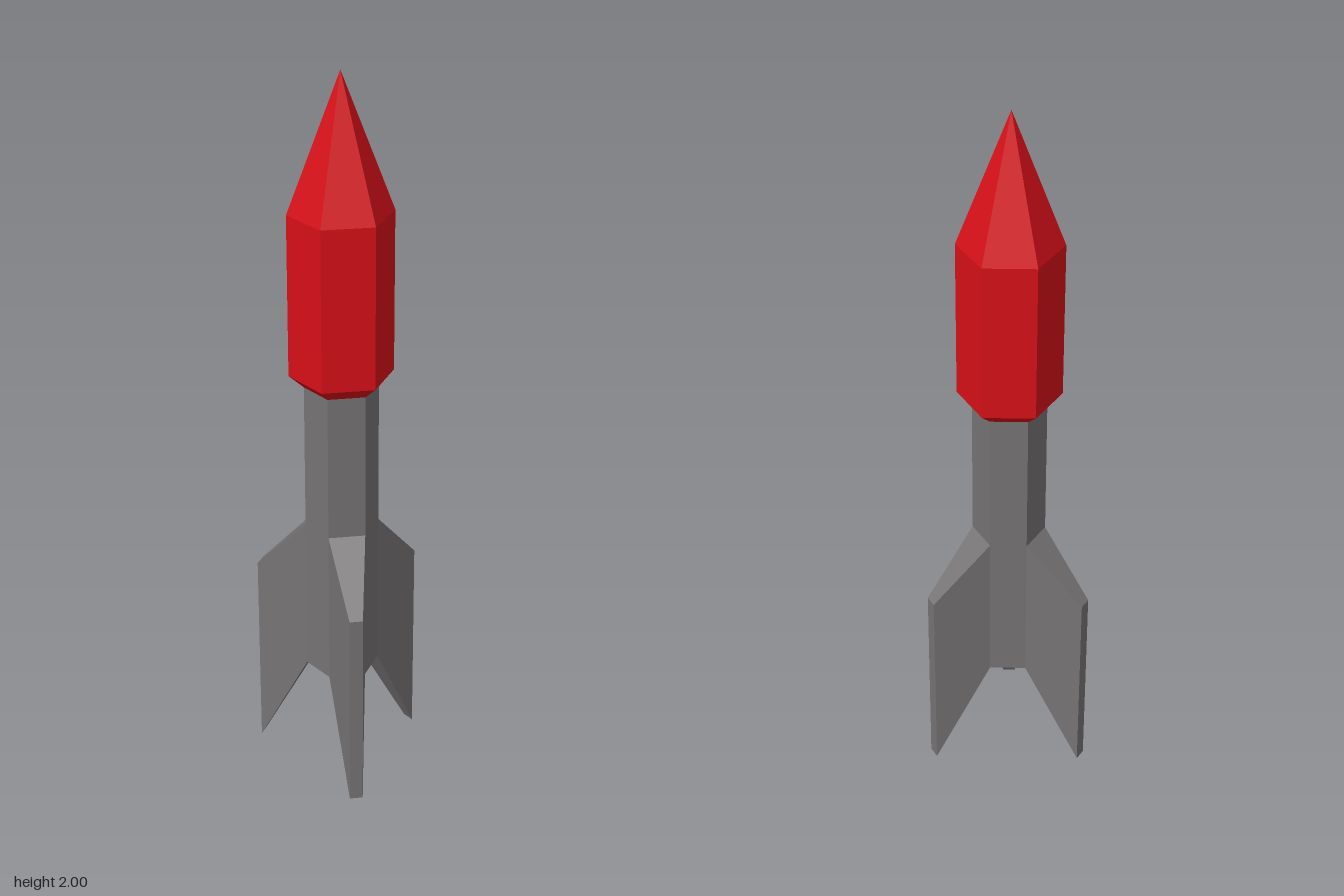
import * as THREE from 'three';

const SIDES = 6;
const APOTHEM = Math.cos(Math.PI / SIDES);

// Faceted solid of revolution from [radius, height] pairs, bottom to top
function hexTurned(name, profile, material) {
  const points = profile.map(([r, y]) => new THREE.Vector2(r, y));
  const mesh = new THREE.Mesh(new THREE.LatheGeometry(points, SIDES), material);
  mesh.name = name;
  return mesh;
}

// Swept, tapered fin: a box whose corners move to the root and tip edges
function finGeometry(shaftRadius) {
  const root = { x: shaftRadius * APOTHEM, top: 0.74, bottom: 0.3, half: shaftRadius / 2 };
  const tip = { x: 0.246, top: 0.57, bottom: 0, half: 0.018 };
  const geometry = new THREE.BoxGeometry(1, 1, 1);
  const p = geometry.attributes.position;
  for (let i = 0; i < p.count; i++) {
    const edge = p.getX(i) > 0 ? tip : root;
    p.setXYZ(i, edge.x, p.getY(i) > 0 ? edge.top : edge.bottom, Math.sign(p.getZ(i)) * edge.half);
  }
  geometry.computeVertexNormals();
  return geometry;
}

export function createModel() {
  const red = new THREE.MeshStandardMaterial({ color: 0xd81018, flatShading: true });
  const darkGrey = new THREE.MeshStandardMaterial({ color: 0x767374, flatShading: true });
  const shaftRadius = 0.1;

  const model = new THREE.Group();
  model.name = 'rocket';
  const body = new THREE.Group();
  body.name = 'body';
  body.position.x = -0.054; // three fins make the outline uneven about the axis
  model.add(body);

  // Warhead with bevelled base and pointed nose
  body.add(hexTurned('warhead', [[shaftRadius, 1.15], [0.14, 1.185], [0.14, 1.63], [0, 2]], red));

  // Slim shaft, closed at the bottom
  body.add(hexTurned('shaft', [[0, 0.3], [shaftRadius, 0.3], [shaftRadius, 1.15]], darkGrey));

  // Three fins on alternate flats of the shaft
  const geometry = finGeometry(shaftRadius);
  for (let i = 0; i < 3; i++) {
    const fin = new THREE.Mesh(geometry, darkGrey);
    fin.name = `fin${i + 1}`;
    fin.rotation.y = (i * Math.PI * 2) / 3;
    body.add(fin);
  }
  return model;
}
